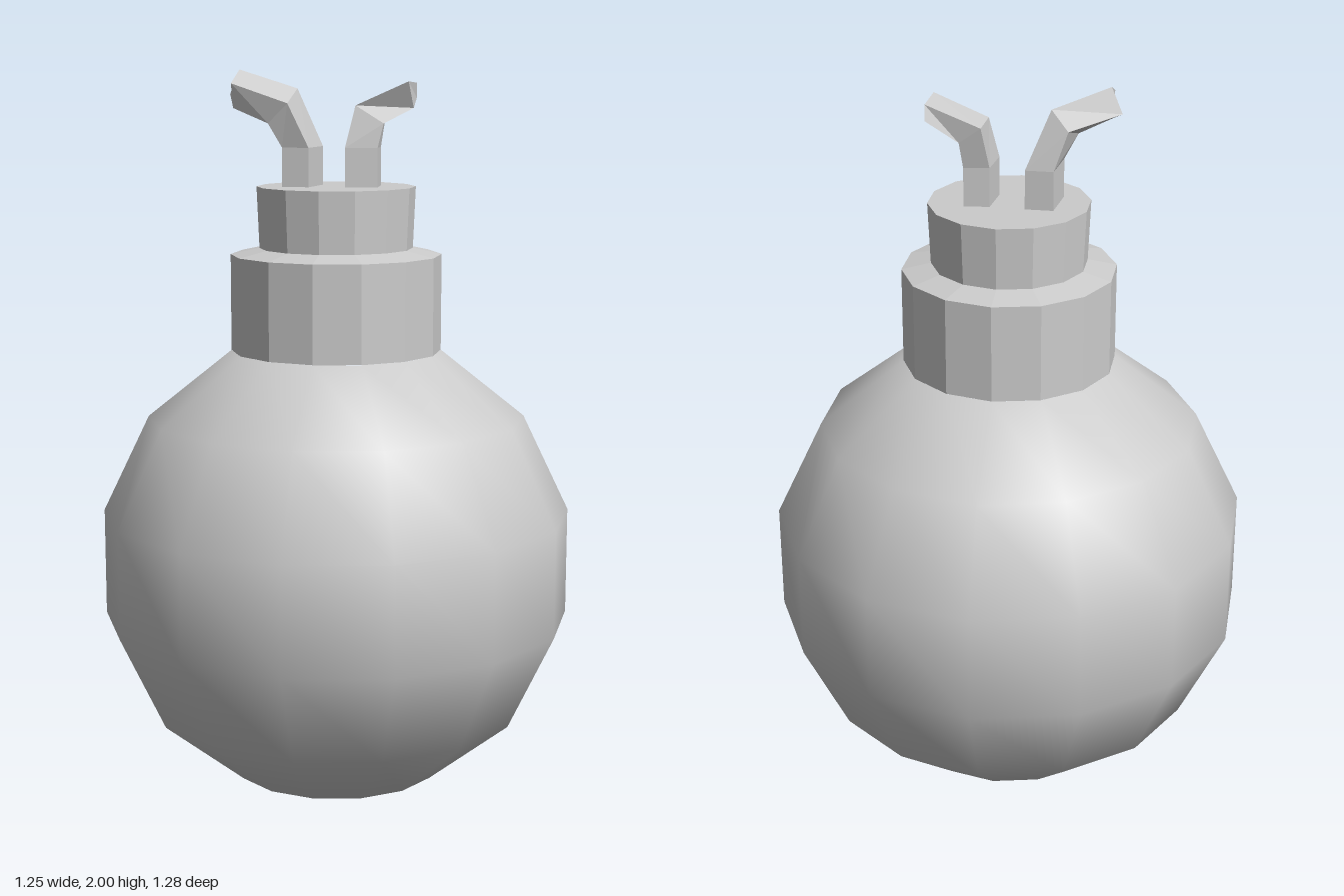
import * as THREE from 'three';

const SIDES = 14;
const smooth = new THREE.MeshStandardMaterial({ color: 0xcccccc });
const faceted = new THREE.MeshStandardMaterial({ color: 0xcccccc, flatShading: true });

function addPart(group, name, geometry, material) {
  const mesh = new THREE.Mesh(geometry, material);
  mesh.name = name;
  group.add(mesh);
  return mesh;
}

// Skins four-cornered cross-sections (clockwise from above) and caps the last one.
function bentBar(rings) {
  const pos = [];
  const tri = (a, b, c) => pos.push(...a, ...b, ...c);
  for (let i = 0; i < rings.length - 1; i++) {
    for (let j = 0; j < 4; j++) {
      const k = (j + 1) % 4;
      const [a0, b0, a1, b1] = [rings[i][j], rings[i][k], rings[i + 1][j], rings[i + 1][k]];
      tri(b0, a0, a1);
      tri(b0, a1, b1);
    }
  }
  const end = rings[rings.length - 1];
  tri(end[0], end[2], end[1]);
  tri(end[0], end[3], end[2]);
  const geometry = new THREE.BufferGeometry();
  geometry.setAttribute('position', new THREE.Float32BufferAttribute(pos, 3));
  geometry.computeVertexNormals();
  return geometry;
}

// Lifts a flat [x, z] cross-section to a height.
const level = (corners, y) => corners.map(([x, z]) => [x, y, z]);

export function createModel() {
  const group = new THREE.Group();

  // Round body, open where the neck begins
  const r = 0.657;
  const body = addPart(group, 'body',
    new THREE.SphereGeometry(r, SIDES, 6, 0, Math.PI * 2, Math.PI / 7, Math.PI * 6 / 7), smooth);
  body.rotation.y = Math.PI / 2;
  body.position.y = r;

  // Stepped neck with a gently sloping shoulder
  const profile = [[0.285, 1.249], [0.285, 1.51], [0.207, 1.527], [0.214, 1.692], [0, 1.692]]
    .map(([x, y]) => new THREE.Vector2(x, y));
  const neck = new THREE.LatheGeometry(profile, SIDES).toNonIndexed();
  neck.computeVertexNormals();
  addPart(group, 'neck', neck, faceted);

  // Larger bent prong on the right
  const rightBase = [[-0.02, -0.071], [-0.082, 0.027], [-0.147, -0.005], [-0.087, -0.103]];
  addPart(group, 'rightProng', bentBar([
    level(rightBase, 1.68),
    level(rightBase, 1.796),
    [[-0.09, 1.95, -0.071], [-0.139, 1.913, 0.027], [-0.185, 1.86, -0.005], [-0.125, 1.897, -0.103]],
    [[-0.245, 2.0, -0.085], [-0.285, 1.965, 0.003], [-0.274, 1.9, -0.025], [-0.266, 1.935, -0.112]],
  ]), faceted);

  // Smaller bent prong on the left
  const leftBase = [[0.01, 0.058], [0.061, -0.027], [0.125, -0.005], [0.095, 0.075]];
  addPart(group, 'leftProng', bentBar([
    level(leftBase, 1.68),
    level(leftBase, 1.796),
    [[0.041, 1.907, 0.048], [0.088, 1.907, -0.041], [0.138, 1.865, -0.012], [0.112, 1.86, 0.073]],
    [[0.173, 1.97, 0.098], [0.219, 1.965, 0.014], [0.222, 1.925, 0.003], [0.195, 1.9, 0.07]],
  ]), faceted);

  return group;
}
